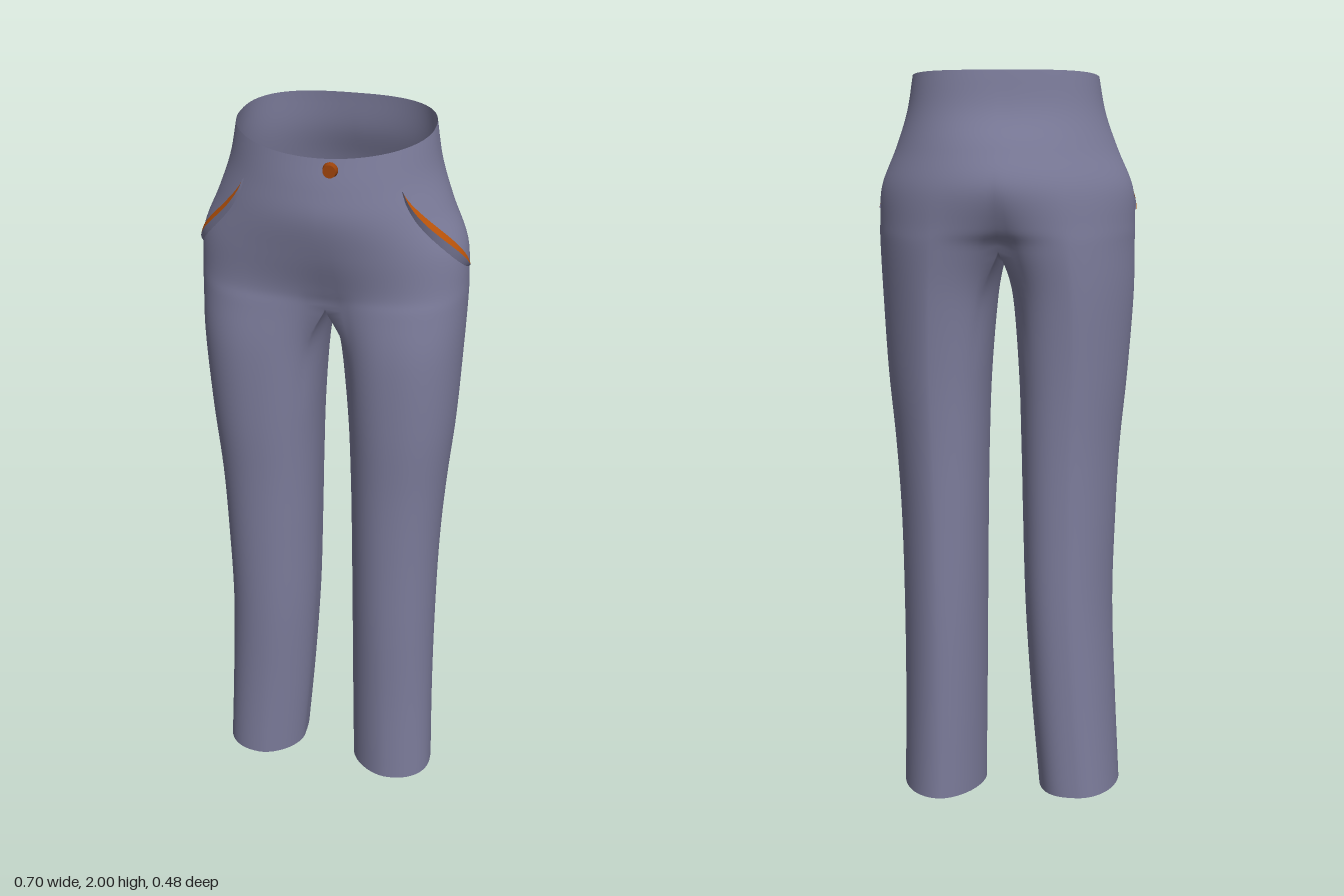
import * as THREE from 'three';
import { mergeGeometries, mergeVertices } from 'three/addons/utils/BufferGeometryUtils.js';

const OUTER = 44, INNER = 16, RING = OUTER + INNER, STEPS = 6;
const SPLIT = Math.PI * 0.77; // leg angle where the outer panel meets the inner thigh
const CENTRE = 0.02; // z of the side seams

// Hip sections: height, half width, front z, back z, front and back squareness,
// drop at the front, share of the two-legged outline
const HIPS = [
  [2.0, 0.247, 0.222, -0.161, 1.95, 2.6, 0.04, 0],
  [1.9, 0.265, 0.232, -0.177, 1.95, 2.3, 0.02, 0],
  [1.8, 0.298, 0.234, -0.214, 1.95, 1.95, 0, 0],
  [1.7, 0.339, 0.212, -0.242, 2.1, 1.77, 0, 0.05],
  [1.6, 0.346, 0.189, -0.228, 2.3, 1.75, 0, 0.35],
  [1.54, 0.346, 0.187, -0.209, 2.3, 1.75, 0, 0.7],
];
// Leg sections: height, inner x, outer x, front z, back z
const LEGS = {
  1: [
    [1.41, 0.02, 0.337, 0.188, -0.183],
    [1.2, 0.038, 0.325, 0.181, -0.167],
    [1.0, 0.045, 0.306, 0.167, -0.159],
    [0.8, 0.048, 0.293, 0.158, -0.157],
    [0.55, 0.05, 0.287, 0.148, -0.157],
    [0.28, 0.052, 0.286, 0.134, -0.153],
    [0, 0.055, 0.29, 0.126, -0.149],
  ],
  [-1]: [
    [1.41, 0.024, 0.349, 0.188, -0.183],
    [1.2, 0.041, 0.335, 0.181, -0.167],
    [1.0, 0.048, 0.317, 0.167, -0.159],
    [0.8, 0.053, 0.308, 0.158, -0.157],
    [0.55, 0.061, 0.303, 0.148, -0.157],
    [0.28, 0.079, 0.314, 0.134, -0.153],
    [0.02, 0.102, 0.328, 0.126, -0.149],
  ],
};
// Squareness of the leg corners: outer front, outer back, inner front, inner back
const THIGH = [2.2, 1.55, 2.3, 2.5];
const HEM = { 1: [2.2, 1.95, 1.7, 1.75], [-1]: [2.2, 1.95, 1.7, 2.8] };

const power = (v, n) => Math.sign(v) * Math.abs(v) ** (2 / n);

function legPoint([y, xi, xo, zf, zb], angle, side) {
  const c = Math.cos(angle), s = Math.sin(angle);
  const corner = (c > 0 ? 0 : 2) + (s > 0 ? 0 : 1);
  const n = THREE.MathUtils.lerp(HEM[side][corner], THIGH[corner], Math.min(1, y / 1.4));
  return new THREE.Vector3(
    (xi + xo) / 2 + power(c, n) * (xo - xi) / 2, y,
    CENTRE + power(s, n) * (s > 0 ? zf - CENTRE : CENTRE - zb));
}

// Point of a half hip section; u runs from the front seam (0) to the back seam (1)
function hipPoint([y, w, zf, zb, nf, nb, drop, share], u, side) {
  const angle = Math.PI * (0.5 - u), s = Math.sin(angle), n = s > 0 ? nf : nb;
  const width = w * (side > 0 ? 0.99 : 1.01);
  const p = new THREE.Vector3(
    power(Math.cos(angle), n) * width,
    y - drop * ((1 + s) / 2) ** 1.5,
    CENTRE + power(s, n) * (s > 0 ? zf - CENTRE : CENTRE - zb));
  p.lerp(legPoint([p.y, 0, width, zf, zb], SPLIT * (1 - 2 * u), side), share);
  if (u === 0 || u === 1) p.x = 0;
  return p;
}

// Triangles of a grid of points, turned over for the mirrored side
function gridGeometry(points, rows, cols, side, closed, keep = () => true) {
  const index = [];
  for (let i = 0; i < rows - 1; i++) {
    for (let j = 0; j < (closed ? cols : cols - 1); j++) {
      if (!keep(i, j)) continue;
      const k = (j + 1) % cols;
      const a = i * cols + j, b = a + cols, c = (i + 1) * cols + k, d = i * cols + k;
      if (side > 0) index.push(a, b, d, b, c, d);
      else index.push(a, d, b, b, d, c);
    }
  }
  const geometry = new THREE.BufferGeometry().setFromPoints(points);
  geometry.setIndex(index);
  return geometry;
}

// One half: open hip sections above the crotch, closed leg sections below it
function halfGeometry(side) {
  const legs = LEGS[side], crotch = HIPS.length - 1;
  const rows = (HIPS.length + legs.length - 1) * STEPS + 1;
  const points = new Array(rows * RING);
  for (let j = 0; j < RING; j++) {
    const outer = j <= OUTER, u = outer ? j / OUTER : (j - OUTER) / INNER;
    const legAngle = outer ? SPLIT * (1 - 2 * u) : -SPLIT - u * 2 * (Math.PI - SPLIT);
    const keys = HIPS.map((row) => hipPoint(row, u, side));
    if (!outer) {
      // Saddle under the crotch
      const saddle = hipPoint(HIPS[crotch], 1, side).lerp(hipPoint(HIPS[crotch], 0, side), u);
      saddle.y -= 0.03 * Math.sin(Math.PI * u);
      keys.fill(saddle);
    }
    keys.push(...legs.map((row) => legPoint(row, legAngle, side)));
    const curve = new THREE.CatmullRomCurve3(keys, false, 'catmullrom', 0.5);
    for (let i = 0; i < rows; i++) {
      const p = curve.getPoint(i / (rows - 1));
      if (i <= crotch * STEPS && !outer) p.copy(keys[crotch]);
      if (i <= crotch * STEPS && (j === 0 || j === OUTER)) p.x = 0;
      p.x = Math.max(0, p.x) * side;
      points[i * RING + j] = p;
    }
  }
  return gridGeometry(points, rows, RING, side, true, (i, j) => j < OUTER || i >= crotch * STEPS);
}

// Patch following the hips; place(s, t) returns angle, height and outward offset
function hipPatch(side, cols, rows, place) {
  const points = [];
  for (let i = 0; i < rows; i++) {
    for (let j = 0; j < cols; j++) {
      const [angle, y, offset] = place(j / (cols - 1), i / (rows - 1));
      const keys = HIPS.slice(0, 5).map((row) => hipPoint(row, 0.5 - angle / Math.PI, side));
      const p = new THREE.CatmullRomCurve3(keys, false, 'catmullrom', 0.5).getPoint((2 - y) / 0.4);
      p.x = (p.x + Math.cos(angle) * offset) * side;
      p.z += Math.sin(angle) * offset;
      points.push(p);
    }
  }
  const geometry = gridGeometry(points, rows, cols, side, false);
  geometry.computeVertexNormals();
  return geometry;
}

export function createModel() {
  const group = new THREE.Group();
  const material = (name, color) => {
    const made = new THREE.MeshStandardMaterial({ color, side: THREE.DoubleSide });
    made.name = name;
    return made;
  };
  const cloth = material('greyBlueCloth', 0x7d7d9c);
  const lining = material('orangeLining', 0xbd550a);
  const brown = material('brownButton', 0x9c430b);
  const add = (name, geometry, surface) => {
    const mesh = new THREE.Mesh(geometry, surface);
    mesh.name = name;
    group.add(mesh);
    return mesh;
  };

  // Trousers, both halves welded along the centre seam
  const halves = [1, -1].map((side) => halfGeometry(side));
  const trousers = mergeVertices(mergeGeometries(halves), 1e-5);
  trousers.computeVertexNormals();
  add('trousers', trousers, cloth);

  for (const side of [1, -1]) {
    const label = side > 0 ? 'left' : 'right';
    const gape = side > 0 ? 0.034 : 0.03, lean = side > 0 ? 0.009 : 0.004;
    // Curved line of the pocket, from the waist down to the side seam
    const angle = (s) => 0.75 * (1 - s ** 1.5);
    const height = (s) => 1.885 - 0.245 * s ** 0.9;
    const belly = (s) => Math.max(0, Math.sin(Math.PI * s ** 0.75)) ** 0.7;
    // Pocket opening, leaning out towards its lower edge
    add(label + 'PocketOpening', hipPatch(side, 24, 4, (s, t) => [
      angle(s), height(s) + (0.5 - t) * gape * belly(s), 0.004 + lean * t * belly(s),
    ]), lining);
    // Cloth edge of the pocket, running back into the hip
    add(label + 'PocketEdge', hipPatch(side, 24, 4, (s, t) => [
      angle(s), height(s) - (0.5 * gape + 0.03 * t) * belly(s),
      0.004 + lean * belly(s) * (1 - t) - 0.005 * t,
    ]), cloth);
    // Pocket bag hanging inside the front
    add(label + 'PocketBag', hipPatch(side, 16, 10, (s, t) => [
      1.3 - 1.1 * s, 1.89 - (0.25 - 0.05 * s) * t,
      -0.008 - (0.045 - 0.03 * s) * Math.sin(Math.PI * 0.6 * t),
    ]), lining);
  }

  // Waist button
  const button = add('button', new THREE.CylinderGeometry(0.016, 0.019, 0.014, 20), brown);
  button.rotation.x = Math.PI / 2;
  button.position.set(0.033, 1.935, 0.231);
  return group;
}
